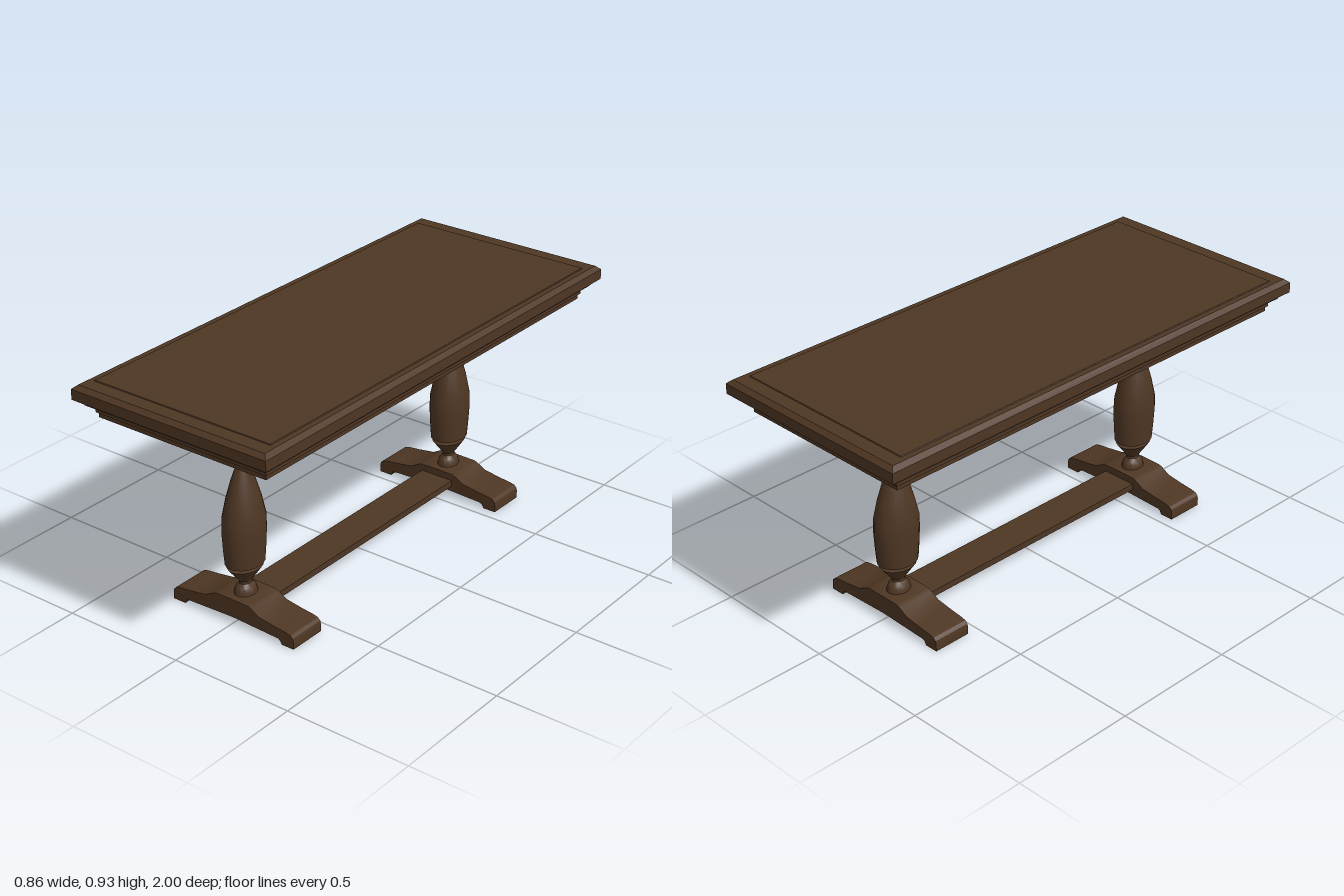
import * as THREE from 'three';
import { toCreasedNormals } from 'three/addons/utils/BufferGeometryUtils.js';

const wood = new THREE.MeshStandardMaterial({ color: 0x4e3623 });
wood.name = 'dark wood';

function part(name, geometry) {
  const mesh = new THREE.Mesh(geometry, wood);
  mesh.name = name;
  return mesh;
}

// Rectangle outline with half-sizes x and z
function rect(x, z, Type = THREE.Shape) {
  const points = [[-x, -z], [x, -z], [x, z], [-x, z]].map(([a, b]) => new THREE.Vector2(a, b));
  return new Type(points);
}

// Horizontal frame with the shared underside opening, from y0 to y1
function frame(name, x, z, y0, y1) {
  const shape = rect(x, z);
  shape.holes.push(rect(0.285, 0.83, THREE.Path));
  const geometry = new THREE.ExtrudeGeometry(shape, { depth: y1 - y0, bevelEnabled: false });
  geometry.rotateX(-Math.PI / 2).translate(0, y0, 0);
  return part(name, geometry);
}

// Slab whose outline narrows by inset towards its top (or bottom, if flipped)
function taperedSlab(name, x, z, y0, y1, inset) {
  const geometry = new THREE.BoxGeometry(2 * x, y1 - y0, 2 * z);
  const p = geometry.attributes.position;
  for (let i = 0; i < p.count; i++) {
    if (p.getY(i) > 0) {
      p.setX(i, Math.sign(p.getX(i)) * (x - inset));
      p.setZ(i, Math.sign(p.getZ(i)) * (z - inset));
    }
  }
  geometry.translate(0, (y0 + y1) / 2, 0);
  geometry.computeVertexNormals();
  return part(name, geometry);
}

function createTop() {
  const top = new THREE.Group();
  top.name = 'tableTop';
  top.add(
    taperedSlab('chamferedEdge', 0.428, 1, 0.915, 0.93, 0.018),
    taperedSlab('raisedPanel', 0.388, 0.928, 0.93, 0.933, 0.002),
    frame('topBoard', 0.428, 1, 0.875, 0.915),
    frame('upperMoulding', 0.4, 0.968, 0.85, 0.875),
    frame('recessedMoulding', 0.357, 0.92, 0.835, 0.85),
    frame('lowerMoulding', 0.377, 0.94, 0.82, 0.835),
    frame('apron', 0.37, 0.932, 0.8, 0.82),
  );
  return top;
}

// Turned post, slightly deeper than wide
function createPost() {
  const profile = [
    [0, 0.095], [0.04, 0.095], [0.038, 0.11], [0.034, 0.125], [0.022, 0.14], [0.022, 0.15],
    [0.06, 0.208], [0.035, 0.21], [0.035, 0.224], [0.066, 0.224], [0.07, 0.285], [0.073, 0.35],
    [0.072, 0.405], [0.058, 0.48], [0.04, 0.55], [0.021, 0.61], [0.03, 0.61], [0.056, 0.645],
    [0.056, 0.656], [0.035, 0.66], [0.035, 0.664], [0.05, 0.676], [0.048, 0.688], [0.03, 0.698],
    [0.03, 0.704], [0.034, 0.71], [0.029, 0.715], [0.024, 0.8], [0.024, 0.82], [0, 0.82],
  ].map(([r, y]) => new THREE.Vector2(r, y));
  const geometry = new THREE.LatheGeometry(profile, 20);
  geometry.scale(1, 1, 1.23);
  return part('turnedPost', toCreasedNormals(geometry, 0.5));
}

// Arched foot, drawn as one half and mirrored
function createFoot() {
  const half = [
    [0, 0.1], [0.074, 0.099], [0.09, 0.093], [0.126, 0.073], [0.2, 0.062], [0.245, 0.057],
    [0.267, 0.052], [0.277, 0.042], [0.28, 0.03], [0.28, 0], [0.226, 0], [0.219, 0.014],
    [0.21, 0.019], [0, 0.027],
  ];
  const other = half.slice(1, -1).reverse().map(([x, y]) => [-x, y]);
  const shape = new THREE.Shape([...half, ...other].map(([x, y]) => new THREE.Vector2(x, y)));
  const geometry = new THREE.ExtrudeGeometry(shape, { depth: 0.154, bevelEnabled: false });
  geometry.translate(0, 0, -0.077);
  return part('foot', toCreasedNormals(geometry, 0.4));
}

export function createModel() {
  const table = new THREE.Group();
  table.name = 'trestleTable';
  table.add(createTop());

  // Front and back trestles
  for (const side of [1, -1]) {
    const trestle = new THREE.Group();
    trestle.name = side > 0 ? 'frontTrestle' : 'backTrestle';
    trestle.add(createPost(), createFoot());
    trestle.position.z = side * 0.622;
    table.add(trestle);
  }

  // Flat board joining the feet
  const stretcher = part('stretcher', new THREE.BoxGeometry(0.145, 0.025, 1.2));
  stretcher.position.y = 0.059;
  table.add(stretcher);
  return table;
}
